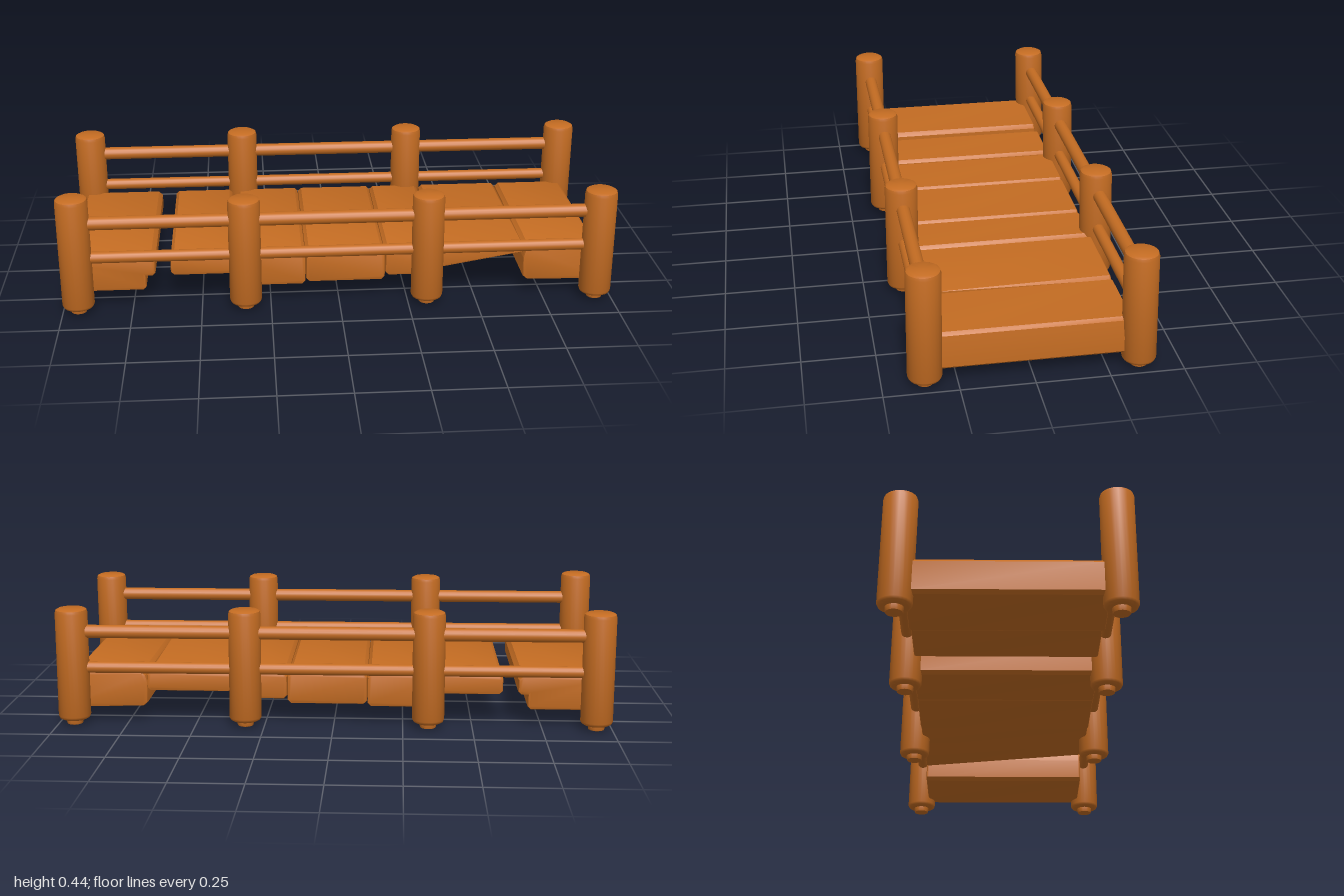
import * as THREE from 'three';
import { toCreasedNormals } from 'three/addons/utils/BufferGeometryUtils.js';

const wood = new THREE.MeshStandardMaterial({ color: 0xc46c22 });
wood.name = 'wood';

// Round post with softened rims and a stepped foot peg
function makePost(x, zTop, zBottom, height) {
  const r = 0.058;
  const profile = [
    [0, 0.003], [0.02, 0.003], [0.028, 0.006], [0.03, 0.013], [0.031, 0.024], [0.045, 0.024],
    [r - 0.004, 0.029], [r, 0.038], [r, height - 0.016], [r - 0.003, height - 0.005],
    [r - 0.012, height], [0, height],
  ].map(([a, b]) => new THREE.Vector2(a, b));
  const geo = toCreasedNormals(new THREE.LatheGeometry(profile, 24), 0.7);
  const p = geo.attributes.position;
  // Slight lean: slide each ring along z with height
  for (let i = 0; i < p.count; i++) {
    p.setZ(i, p.getZ(i) + THREE.MathUtils.lerp(zBottom, zTop, p.getY(i) / height));
  }
  const post = new THREE.Mesh(geo, wood);
  post.position.x = x;
  return post;
}

// Plank: side outline run across the deck with bevelled ends
function makePlank(points, warp) {
  const b = 0.008, half = 0.326;
  const shape = new THREE.Shape(points.map(([x, y]) => new THREE.Vector2(x, y)));
  const geo = new THREE.ExtrudeGeometry(shape, {
    depth: 2 * (half - b), bevelThickness: b, bevelSize: b, bevelOffset: -b, bevelSegments: 2,
  });
  geo.translate(0, 0, b - half);
  if (warp) {
    const p = geo.attributes.position;
    for (let i = 0; i < p.count; i++) p.setY(i, warp(p.getX(i), p.getY(i), p.getZ(i)));
    geo.computeVertexNormals();
  }
  return new THREE.Mesh(toCreasedNormals(geo, 0.5), wood);
}

// Outline with clipped corners
function block(x0, x1, bottom, top = 0.19, c = 0.012) {
  return [
    [x0 + c, bottom], [x1 - c, bottom], [x1, bottom + c], [x1, top - c],
    [x1 - c, top], [x0 + c, top], [x0, top - c], [x0, bottom + c],
  ];
}

export function createModel() {
  const model = new THREE.Group();
  model.name = 'footbridge';
  const add = (mesh, name) => {
    mesh.name = name;
    model.add(mesh);
  };

  // Posts
  [-0.943, -0.341, 0.318, 0.941].forEach((x, i) => {
    add(makePost(x, 0.356, 0.358, i === 0 ? 0.446 : 0.427), 'frontPost' + (i + 1));
    add(makePost(x, -0.349, -0.358, 0.43), 'backPost' + (i + 1));
  });

  // Rails
  for (const [side, z] of [['front', 0.355], ['back', -0.353]]) {
    for (const [level, y, r] of [['Upper', 0.346, 0.024], ['Lower', 0.214, 0.021]]) {
      const rail = new THREE.Mesh(new THREE.CylinderGeometry(r, r, 1.88, 16), wood);
      rail.rotation.z = Math.PI / 2;
      rail.position.set(0, y, z);
      add(rail, side + level + 'Rail');
    }
  }

  // Left-hand end plank with a stepped lip
  add(makePlank([
    [-0.958, 0.065], [-0.71, 0.065], [-0.7, 0.075], [-0.7, 0.12], [-0.675, 0.12],
    [-0.665, 0.13], [-0.665, 0.175], [-0.68, 0.19], [-0.958, 0.19], [-0.97, 0.178], [-0.97, 0.077],
  ]), 'endPlankWest');

  // Middle planks
  add(makePlank(block(-0.61, -0.385, 0.12)), 'plank1');
  add(makePlank(block(-0.365, -0.122, 0.07)), 'plank2');
  add(makePlank(block(-0.12, 0.168, 0.078)), 'plank3');
  add(makePlank(block(0.17, 0.362, 0.095)), 'plank4');

  // Twisted plank: its underside rises toward the front at one edge
  add(makePlank(block(0.37, 0.68, 0.12), (x, y, z) => {
    const lift = 0.055 * Math.max(0, (x - 0.37) / 0.31) * (z + 0.326) / 0.652;
    return y + lift * Math.max(0, (0.19 - y) / 0.07);
  }), 'plank5');

  // Right-hand end plank, slightly tapered
  add(makePlank([
    [0.695, 0.062], [0.945, 0.055], [0.96, 0.068], [0.96, 0.12], [0.952, 0.18],
    [0.94, 0.19], [0.698, 0.19], [0.685, 0.178], [0.677, 0.15], [0.68, 0.075],
  ]), 'endPlankEast');

  return model;
}
